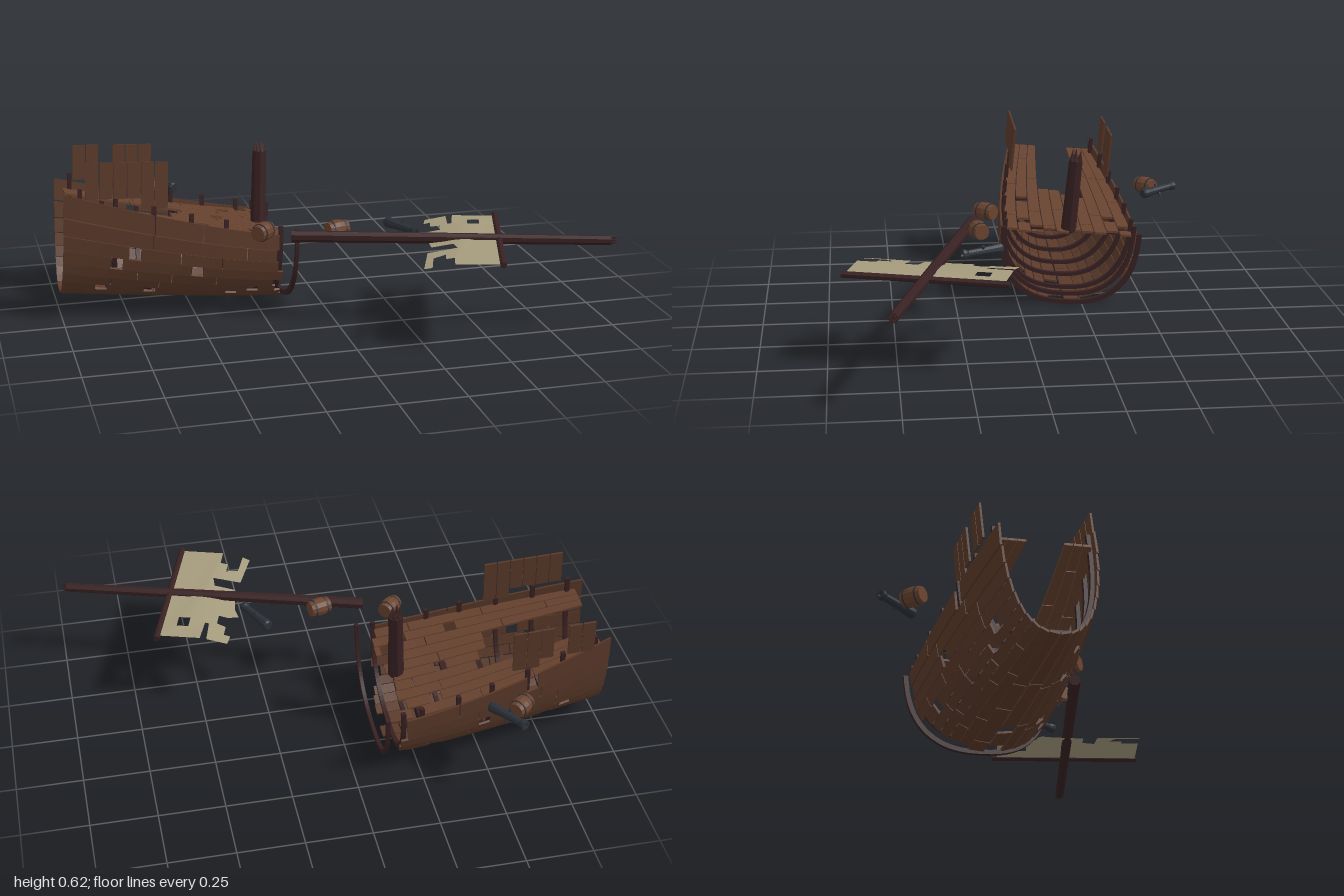
import * as THREE from 'three';
import { mergeGeometries } from 'three/addons/utils/BufferGeometryUtils.js';

const V = (x, y, z) => new THREE.Vector3(x, y, z);
const mat = (name, color, extra = {}) => Object.assign(new THREE.MeshStandardMaterial({ color, ...extra }), { name });

let seed = 7;
const rnd = () => (seed = (seed * 16807) % 2147483647) / 2147483647;

// Hull lines: u runs from 0 at the broken end to 1 at the stern
const uOf = x => THREE.MathUtils.clamp((-0.16 - x) / 0.84, 0, 1);
const halfWidth = x => 0.274 - 0.1 * uOf(x) ** 1.8;
const sheer = x => 0.285 + 0.16 * uOf(x) ** 1.3;
const keel = x => 0.03 * uOf(x) ** 1.5;
const deckY = x => sheer(x) - 0.008 - 0.03 * uOf(x);

// Point on the hull skin: t = 0 at the keel, +-1 at the rails
function hullPoint(x, t, out = 0) {
  const a = Math.min(Math.abs(t), 1) * Math.PI / 2;
  const over = Math.max(Math.abs(t) - 1, 0) * 0.45;
  const rise = 1 - Math.max(Math.cos(a), 0) ** 0.8;
  return V(x, keel(x) - out + (sheer(x) - keel(x) + out) * rise + over,
    Math.sign(t) * (halfWidth(x) + out) * Math.sin(a) ** 0.8);
}

// Solid bar swept through four-cornered sections
function bar(n, section) {
  const pos = [], idx = [];
  for (let i = 0; i <= n; i++) for (const p of section(i / n)) pos.push(p.x, p.y, p.z);
  const quad = (a, b, c, d) => idx.push(a, b, c, a, c, d);
  for (let i = 0; i < n; i++) for (let k = 0; k < 4; k++) {
    const m = (k + 1) % 4;
    quad(i * 4 + k, i * 4 + m, i * 4 + 4 + m, i * 4 + 4 + k);
  }
  quad(3, 2, 1, 0);
  quad(n * 4, n * 4 + 1, n * 4 + 2, n * 4 + 3);
  // turn the faces outward when the sections run the other way
  const at = i => V(pos[i * 3], pos[i * 3 + 1], pos[i * 3 + 2]);
  let volume = 0;
  for (let i = 0; i < idx.length; i += 3) volume += at(idx[i]).dot(at(idx[i + 1]).cross(at(idx[i + 2])));
  if (volume < 0) idx.reverse();
  const g = new THREE.BufferGeometry();
  g.setAttribute('position', new THREE.Float32BufferAttribute(pos, 3));
  g.setIndex(idx);
  const flat = g.toNonIndexed();
  flat.computeVertexNormals();
  return flat;
}

// Cut a run of planking into boards with joints and a few holes
function boards(x0, x1, holeChance, make) {
  const list = [];
  for (let x = x0; x < x1 - 0.02;) {
    const end = Math.min(x + 0.12 + 0.24 * rnd(), x1);
    list.push(make(x, end));
    x = end + (rnd() < holeChance ? 0.045 : 0.004);
  }
  return list;
}

export function createModel() {
  const model = new THREE.Group();
  model.name = 'shipwreck';
  const hullWood = mat('hull wood', 0x5a3929);
  const deckWood = mat('deck wood', 0x67422f);
  const darkWood = mat('dark timber', 0x382122);
  const barrelWood = mat('barrel wood', 0x6b432e);
  const iron = mat('iron', 0x2c3138);
  const canvas = mat('canvas', 0xa59b7d, { side: THREE.DoubleSide });
  const add = (parent, name, geo, material) => {
    const m = new THREE.Mesh(geo, material);
    m.name = name;
    parent.add(m);
    return m;
  };

  // Hull half, listing to one side and sloping down to the break
  const hull = new THREE.Group();
  hull.name = 'hull';
  hull.position.set(0, 0.012, -0.18);
  hull.rotation.set(-0.09, 0, -0.05);
  model.add(hull);

  // Side planking, each strake lapping slightly over the next
  const strakes = 10;
  for (const side of [-1, 1]) {
    const geos = [];
    for (let j = 0; j < strakes; j++) {
      const t0 = side * (j + 0.03) / strakes, t1 = side * (j + 0.96) / strakes;
      geos.push(...boards(-1, -0.155 - 0.06 * rnd(), j > 2 ? 0.3 : 0.08, (a, b) => bar(6, s => {
        const x = a + (b - a) * s;
        return [hullPoint(x, t0, 0.004), hullPoint(x, t1, 0), hullPoint(x, t1, -0.008), hullPoint(x, t0, -0.005)];
      })));
    }
    add(hull, side > 0 ? 'leftPlanking' : 'rightPlanking', mergeGeometries(geos), hullWood);
  }

  // Curved frames inside the planking, and one loose frame past the break
  const frame = (x, outer, inner, w, top) => bar(40, s => {
    const t = (s * 2 - 1) * top;
    const at = (dx, o) => hullPoint(x, t, o).add(V(dx, 0, 0));
    return [at(-w, outer), at(w, outer), at(w, inner), at(-w, inner)];
  });
  const frames = [-0.19, -0.26, -0.4, -0.53, -0.67, -0.81, -0.94].map(x => frame(x, -0.009, -0.024, 0.008, 1.06));
  add(hull, 'frames', mergeGeometries(frames), darkWood);
  add(hull, 'looseFrame', frame(-0.128, 0.004, -0.014, 0.007, 1.04), darkWood);

  // Deck boards with the middle open toward the stern
  const deck = [], rows = 10;
  for (let r = 0; r < rows; r++) {
    const v0 = (r + 0.04) / rows * 2 - 1, v1 = (r + 0.96) / rows * 2 - 1;
    const open = Math.abs(v0 + v1) / 2 < 0.4;
    deck.push(...boards(open ? -0.5 - 0.1 * rnd() : -0.97, -0.17 - 0.05 * rnd(), 0.4, (a, b) => bar(4, s => {
      const x = a + (b - a) * s, w = halfWidth(x) * 0.93, y = deckY(x);
      return [V(x, y, v0 * w), V(x, y, v1 * w), V(x, y - 0.009, v1 * w), V(x, y - 0.009, v0 * w)];
    })));
  }
  add(hull, 'deck', mergeGeometries(deck), deckWood);

  // Beams under the deck
  for (const x of [-0.26, -0.4, -0.53]) {
    add(hull, 'deckBeam', new THREE.BoxGeometry(0.02, 0.018, halfWidth(x) * 1.86), darkWood)
      .position.set(x, deckY(x) - 0.019, 0);
  }

  // Upright bulwark boards: six on the left, the right side partly lost
  const upright = (i, side) => {
    const bottom = i < 4 ? 0.425 : 0.385, height = 0.562 - bottom;
    add(hull, 'bulwarkBoard', new THREE.BoxGeometry(0.048, height, 0.008), hullWood)
      .position.set(-0.9 + i * 0.052, bottom + height / 2, side * 0.202);
  };
  for (let i = 0; i < 6; i++) upright(i, 1);
  for (const i of [0, 1, 3, 4, 5]) upright(i, -1);

  // Round spar with splintered ends, standing on its base
  function spar(name, r0, r1, length, splinters) {
    const g = new THREE.Group();
    g.name = name;
    const shaft = new THREE.CylinderGeometry(r1, r0, length, 8).toNonIndexed();
    shaft.translate(0, length / 2, 0);
    shaft.computeVertexNormals();
    add(g, name + 'Shaft', shaft, darkWood);
    for (let i = 0; i < splinters; i++) {
      const a = i / splinters * Math.PI * 2, h = r1 * (1.1 + 0.7 * rnd());
      add(g, 'splinter', new THREE.ConeGeometry(r1 * 0.38, h, 4), darkWood)
        .position.set(Math.cos(a) * r1 * 0.62, length + h / 2 - 0.002, Math.sin(a) * r1 * 0.62);
    }
    return g;
  }
  const between = (g, a, b) => {
    g.position.copy(a);
    g.quaternion.setFromUnitVectors(V(0, 1, 0), b.clone().sub(a).normalize());
    model.add(g);
  };
  const stump = spar('mastStump', 0.031, 0.027, 0.29, 6);
  stump.position.set(-0.222, 0.272, 0);
  hull.add(stump);

  // Fallen mast and its yard
  const mastA = V(-0.165, 0.357, 0.175), mastB = V(0.965, 0.357, 0.522);
  between(spar('fallenMast', 0.023, 0.018, mastA.distanceTo(mastB), 6), mastA, mastB);
  const yardA = V(0.66, 0.358, 0.11), yardB = V(0.48, 0.358, 0.69);
  between(spar('yard', 0.012, 0.012, yardA.distanceTo(yardB), 0), yardA, yardB);

  // Torn sail: x along the yard, y back toward the hull
  const outline = [[0.02, 0], [0.02, 0.165], [0.12, 0.17], [0.12, 0.185], [0.02, 0.19], [0.02, 0.27], [0.07, 0.275],
    [0.07, 0.25], [0.12, 0.25], [0.13, 0.215], [0.18, 0.215], [0.18, 0.25], [0.2, 0.29], [0.24, 0.27], [0.37, 0.25],
    [0.37, 0.17], [0.42, 0.157], [0.426, 0.265], [0.593, 0.28], [0.6, 0.25], [0.5, 0.245], [0.48, 0.2],
    [0.53, 0.2], [0.53, 0.17], [0.6, 0.17], [0.6, 0]];
  const sailShape = new THREE.Shape(outline.map(p => new THREE.Vector2(...p)));
  sailShape.holes.push(new THREE.Path([[0.085, 0.065], [0.085, 0.11], [0.14, 0.11], [0.14, 0.065]]
    .map(p => new THREE.Vector2(...p))));
  const sailGeo = new THREE.ShapeGeometry(sailShape);
  const along = yardB.clone().sub(yardA).normalize(), back = V(along.x < 0 ? -along.z : along.z, 0, along.x);
  const sp = sailGeo.attributes.position;
  for (let i = 0; i < sp.count; i++) {
    const a = sp.getX(i), b = sp.getY(i);
    const p = yardA.clone().addScaledVector(along, a).addScaledVector(back, b);
    sp.setXYZ(i, p.x, 0.358 + 0.008 * Math.sin(b * 12) - 0.28 * b * b, p.z);
  }
  sailGeo.computeVertexNormals();
  add(model, 'tornSail', sailGeo, canvas);

  // Floating barrels with iron hoops
  const profile = [[0, -0.041], [0.029, -0.041], [0.034, -0.02], [0.036, 0], [0.034, 0.02], [0.029, 0.041], [0, 0.041]]
    .map(p => new THREE.Vector2(...p));
  for (const [x, y, z, turn] of [[-0.26, 0.367, 0.12, 0.8], [0.012, 0.37, 0.17, 0.3], [-0.585, 0.37, -0.578, 0.7]]) {
    const barrel = new THREE.Group();
    barrel.name = 'barrel';
    const body = new THREE.LatheGeometry(profile, 12).toNonIndexed();
    body.computeVertexNormals();
    add(barrel, 'barrelBody', body, barrelWood);
    for (const h of [-0.024, 0.024])
      add(barrel, 'hoop', new THREE.CylinderGeometry(0.0348, 0.0348, 0.006, 12), iron).position.y = h;
    barrel.rotation.set(0, turn, Math.PI / 2);
    barrel.position.set(x, y, z);
    model.add(barrel);
  }

  // Cannon barrels
  const bore = [[0, -0.085], [0.016, -0.085], [0.021, -0.078], [0.02, -0.06], [0.017, -0.03], [0.014, 0.06],
    [0.019, 0.07], [0.019, 0.084], [0.009, 0.084], [0.008, 0.06], [0, 0.06]].map(p => new THREE.Vector2(...p));
  for (const [a, b] of [[V(0.227, 0.36, 0.1), V(0.297, 0.36, 0.25)], [V(-0.48, 0.362, -0.55), V(-0.565, 0.372, -0.69)]]) {
    const g = new THREE.Group();
    g.name = 'cannon';
    const body = new THREE.LatheGeometry(bore, 10).toNonIndexed();
    body.computeVertexNormals();
    add(g, 'cannonBarrel', body, iron);
    const pin = add(g, 'trunnion', new THREE.CylinderGeometry(0.006, 0.006, 0.05, 8), iron);
    pin.rotation.x = Math.PI / 2;
    between(g, a.clone().add(b).multiplyScalar(0.5), b);
    g.quaternion.setFromUnitVectors(V(0, 1, 0), b.clone().sub(a).normalize());
  }
  return model;
}
